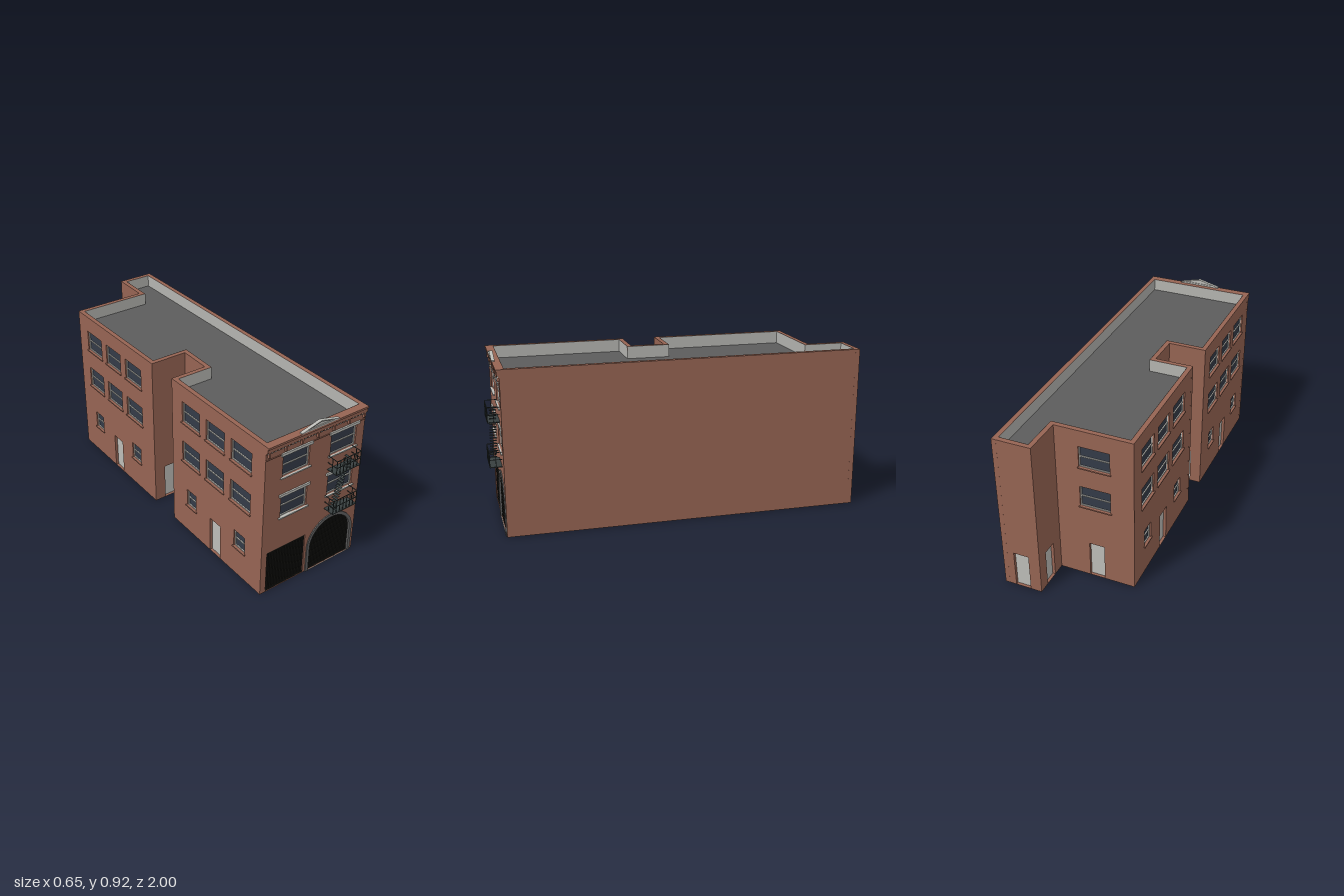
import * as THREE from 'three';

const mat = (name, color, side = THREE.FrontSide) => {
  const m = new THREE.MeshStandardMaterial({ color, side });
  m.name = name;
  return m;
};
const T = 0.025;     // wall thickness
const H = 0.888;     // wall height
const ROOF_Y = 0.82;

// Footprint corners [x, z], starting front left and running along the front
const PLAN = [
  [-0.318, 0.935], [0.305, 0.935], [0.322, -1], [0.115, -1], [0.11, -0.785],
  [-0.305, -0.785], [-0.31, -0.01], [-0.1, -0.01], [-0.105, 0.175], [-0.312, 0.175],
];

export function createModel() {
  const brick = mat('brick', 0x966453);
  const plaster = mat('light plaster', 0xb4b4b0, THREE.DoubleSide);
  const roofing = mat('roofing', 0x5c5c5c);
  const stone = mat('light stone', 0xbdbdb8);
  const archStone = mat('grey stone', 0x616161);
  const glass = mat('dark glass', 0x343b48, THREE.DoubleSide);
  const iron = mat('iron', 0x384040);
  const black = mat('black bars', 0x181814);
  const darkPanel = mat('dark panel', 0x505050);

  const model = new THREE.Group();
  model.name = 'building';

  const add = (parent, name, geo, material) => {
    const m = new THREE.Mesh(geo, material);
    m.name = name;
    parent.add(m);
    return m;
  };
  // Box given by its limits
  const box = (parent, name, material, x0, x1, y0, y1, z0, z1) => {
    const m = add(parent, name, new THREE.BoxGeometry(x1 - x0, y1 - y0, z1 - z0), material);
    m.position.set((x0 + x1) / 2, (y0 + y1) / 2, (z0 + z1) / 2);
    return m;
  };
  const rectPath = (x0, x1, y0, y1) =>
    new THREE.Path([[x0, y0], [x1, y0], [x1, y1], [x0, y1]].map(p => new THREE.Vector2(...p)));
  const archPath = (C, cx, r, spring, y0) => {
    const p = new C();
    p.moveTo(cx - r, y0);
    p.lineTo(cx + r, y0);
    p.lineTo(cx + r, spring);
    p.absarc(cx, spring, r, 0, Math.PI, false);
    p.closePath();
    return p;
  };
  // Panel that is light outside and dark inside
  const panel = (parent, name, geo, z) => {
    add(parent, name, geo, stone).position.z = z;
    const back = geo.clone();
    back.setIndex(Array.from(geo.index.array).reverse());
    back.computeVertexNormals();
    add(parent, name + 'Back', back, darkPanel).position.z = z - 0.002;
  };

  // Window: glass, frame, middle bar, sill and lintel
  const makeWindow = (wall, o) => {
    const { x0, x1, y0, y1, fancy } = o;
    const g = new THREE.Group();
    g.name = 'window';
    wall.add(g);
    const f = 0.005, mid = (y0 + y1) / 2;
    box(g, 'glass', glass, x0, x1, y0, y1, -0.018, -0.014);
    [[x0, x0 + f, y0, y1], [x1 - f, x1, y0, y1], [x0, x1, y0, y0 + f], [x0, x1, y1 - f, y1],
      [x0, x1, mid - 0.003, mid + 0.003]].forEach(b => box(g, 'frame', stone, ...b, -0.016, -0.008));
    if (fancy) {
      box(g, 'lintel', stone, x0 - 0.014, x1 + 0.014, y1 + 0.003, y1 + 0.018, -0.002, 0.008);
      box(g, 'sill', stone, x0 - 0.012, x1 + 0.01, y0 - 0.007, y0, -0.008, 0.009);
    } else {
      box(g, 'sill', brick, x0 - 0.006, x1 + 0.006, y0 - 0.007, y0, -0.008, 0.007);
    }
  };
  const makeDoor = (wall, { x0, x1, y1 }) => {
    const geo = new THREE.PlaneGeometry(x1 - x0, y1);
    geo.translate((x0 + x1) / 2, y1 / 2, 0);
    panel(wall, 'door', geo, -0.016);
  };

  // Openings of each wall, measured along the wall from its left end
  const win = (x0, x1, y0, y1, fancy) => ({ x0, x1, y0, y1, fancy, make: makeWindow });
  const door = (x0, x1) => ({ x0, x1, y0: 0.0005, y1: 0.21, make: makeDoor });
  const floors = [[0.44, 0.56], [0.677, 0.796]];
  const rows = (cols, fancy) => cols.flatMap(c => floors.map(f => win(...c, ...f, fancy)));
  const sideWall = [
    ...rows([[0.092, 0.245], [0.298, 0.448], [0.502, 0.66]]),
    win(0.13, 0.212, 0.17, 0.27), win(0.54, 0.628, 0.17, 0.27), door(0.338, 0.426),
  ];
  const FX = 0.318; // shift from front wall coordinates to x
  const gate = { x0: -0.283 + FX, x1: -0.037 + FX, y0: 0.0005, y1: 0.25 };
  const arch = { cx: 0.1325 + FX, r: 0.1385, spring: 0.15 };
  const openings = [
    [...rows([[0.106, 0.27], [0.406, 0.571]], true), gate],
    [],
    [door(0.062, 0.145)],
    [door(0.065, 0.145)],
    [...rows([[0.125, 0.29]]), door(0.168, 0.25)],
    sideWall,
    [door(0.065, 0.145)],
    [door(0.05, 0.13)],
    [door(0.065, 0.145)],
    sideWall,
  ];

  // Walls with holes and a light inner lining
  const pts = PLAN.map(([x, z]) => new THREE.Vector3(x, 0, z));
  const n = pts.length;
  const up = new THREE.Vector3(0, 1, 0);
  const dirs = pts.map((p, i) => pts[(i + 1) % n].clone().sub(p).normalize());
  const outs = dirs.map(d => d.clone().cross(up));
  const convex = pts.map((p, i) => dirs[(i + n - 1) % n].clone().cross(dirs[i]).y > 0);
  const walls = pts.map((p, i) => {
    const wall = new THREE.Group();
    wall.name = 'wall' + i;
    wall.applyMatrix4(new THREE.Matrix4().makeBasis(dirs[i], up, outs[i]).setPosition(p));
    model.add(wall);
    const len = p.distanceTo(pts[(i + 1) % n]);
    const outline = (s, e) => {
      const shape = new THREE.Shape(rectPath(s, e, 0, H).getPoints());
      openings[i].forEach(o => shape.holes.push(rectPath(o.x0, o.x1, o.y0, o.y1)));
      if (i === 0) shape.holes.push(archPath(THREE.Path, arch.cx, arch.r, arch.spring, 0.0005));
      return shape;
    };
    const c0 = convex[i], c1 = convex[(i + 1) % n];
    const body = new THREE.ExtrudeGeometry(outline(c0 ? 0 : -T, c1 ? len : len + T),
      { depth: T, bevelEnabled: false, curveSegments: 24 });
    add(wall, 'brickWall', body, brick).position.z = -T;
    add(wall, 'innerLining', new THREE.ShapeGeometry(outline(c0 ? T : -T, c1 ? len - T : len + T), 24), plaster)
      .position.z = -T - 0.001;
    openings[i].forEach(o => o.make && o.make(wall, o));
    return wall;
  });

  // Flat roof inside the parapet, with a light ceiling below
  const roofShape = new THREE.Shape(pts.map((p, i) => {
    const q = p.clone().addScaledVector(outs[i], -T / 2).addScaledVector(outs[(i + n - 1) % n], -T / 2);
    return new THREE.Vector2(q.x, -q.z);
  }));
  const roofGeo = new THREE.ShapeGeometry(roofShape).rotateX(-Math.PI / 2);
  add(model, 'roof', roofGeo, roofing).position.y = ROOF_Y;
  add(model, 'ceiling', roofGeo, plaster).position.y = ROOF_Y - 0.01;

  // Front gates: panel, rails and vertical bars
  const front = walls[0];
  const gateGeo = new THREE.PlaneGeometry(gate.x1 - gate.x0, gate.y1);
  gateGeo.translate((gate.x0 + gate.x1) / 2, gate.y1 / 2, 0);
  panel(front, 'gatePanel', gateGeo, -0.022);
  panel(front, 'archPanel', new THREE.ShapeGeometry(archPath(THREE.Shape, arch.cx, arch.r, arch.spring, 0), 24), -0.022);
  const bars = (x0, x1, topAt) => {
    const count = Math.round((x1 - x0) / 0.0103), step = (x1 - x0) / count;
    for (let k = 0; k < count; k++) {
      const x = x0 + (k + 0.5) * step;
      box(front, 'gateBar', black, x - 0.0029, x + 0.0029, 0, topAt(x), -0.018, -0.004);
    }
    box(front, 'gateRail', black, x0, x1, 0.002, 0.011, -0.017, -0.003);
  };
  bars(gate.x0, gate.x1, () => gate.y1);
  box(front, 'gateRail', black, gate.x0, gate.x1, 0.241, 0.25, -0.017, -0.003);
  bars(arch.cx - arch.r, arch.cx + arch.r, x => arch.spring + Math.sqrt(arch.r ** 2 - (x - arch.cx) ** 2));

  // Stone arch surround
  const surround = archPath(THREE.Shape, arch.cx, 0.155, arch.spring, 0);
  surround.holes.push(archPath(THREE.Path, arch.cx, arch.r - 0.001, arch.spring, 0.0003));
  add(front, 'archSurround', new THREE.ExtrudeGeometry(surround,
    { depth: 0.014, bevelEnabled: false, curveSegments: 24 }), archStone).position.z = -0.008;

  // Cornice with brackets and dentils
  const W = 0.623;
  box(front, 'corniceTop', brick, 0, W, 0.877, H, 0, 0.018);
  box(front, 'corniceBand', brick, 0, W, 0.856, 0.877, 0, 0.013);
  box(front, 'corniceFrieze', brick, 0, W, 0.845, 0.856, 0, 0.005);
  box(front, 'corniceMoulding', brick, 0, W, 0.808, 0.812, 0, 0.004);
  for (let k = 0; k < 7; k++) {
    const x = 0.015 + k * 0.0988;
    box(front, 'bracket', brick, x - 0.005, x + 0.005, 0.825, 0.857, 0, 0.012);
  }
  for (let k = 0; k < 31; k++) {
    const x = 0.012 + k * 0.02;
    box(front, 'dentil', stone, x - 0.004, x + 0.004, 0.847, 0.855, 0, 0.01);
  }

  // Pediment on the parapet
  const tri = (C, w, y0, y1) => new C([[-w, y0], [w, y0], [0, y1]].map(p => new THREE.Vector2(...p)));
  const ped = new THREE.Group();
  ped.name = 'pediment';
  ped.position.set(-0.005, 0, 0.937);
  model.add(ped);
  const pedShape = tri(THREE.Shape, 0.117, 0.893, 0.922);
  pedShape.holes.push(tri(THREE.Path, 0.085, 0.897, 0.916));
  add(ped, 'pedimentFrame', new THREE.ExtrudeGeometry(pedShape, { depth: 0.018, bevelEnabled: false }), stone);
  add(ped, 'pedimentField', new THREE.ExtrudeGeometry(tri(THREE.Shape, 0.086, 0.896, 0.917),
    { depth: 0.008, bevelEnabled: false }), stone).position.z = 0.004;
  box(ped, 'pedimentBase', stone, -0.117, 0.117, 0.888, 0.894, 0, 0.016);

  // Fire escape: two railed platforms joined by a steep stair
  const escape = new THREE.Group();
  escape.name = 'fireEscape';
  model.add(escape);
  const X0 = 0.077, X1 = 0.236, Z0 = 0.936, Z1 = 1, b = 0.0016;
  for (const y of [0.361, 0.599]) {
    box(escape, 'platform', iron, X0, X1, y, y + 0.004, Z0, Z1);
    for (const h of [0.042, 0.081]) {
      box(escape, 'frontRail', iron, X0, X1, y + h - b, y + h + b, Z1 - 2 * b, Z1);
      for (const x of [X0, X1 - 2 * b])
        box(escape, 'sideRail', iron, x, x + 2 * b, y + h - b, y + h + b, Z0, Z1);
    }
    for (let k = 0; k <= 7; k++) {
      const x = X0 + b + (k / 7) * (X1 - X0 - 2 * b);
      box(escape, 'baluster', iron, x - b, x + b, y, y + 0.081, Z1 - 2 * b, Z1);
    }
    for (const x of [X0, X1 - 2 * b])
      box(escape, 'sideBaluster', iron, x, x + 2 * b, y, y + 0.081, 0.966, 0.969);
  }
  for (let k = 0; k < 18; k++) {
    const t = k / 17, x = 0.105 + t * 0.075, y = 0.378 + t * 0.275;
    box(escape, 'tread', iron, x - 0.007, x + 0.007, y - 0.0015, y + 0.0015, 0.95, 0.985);
  }
  return model;
}
